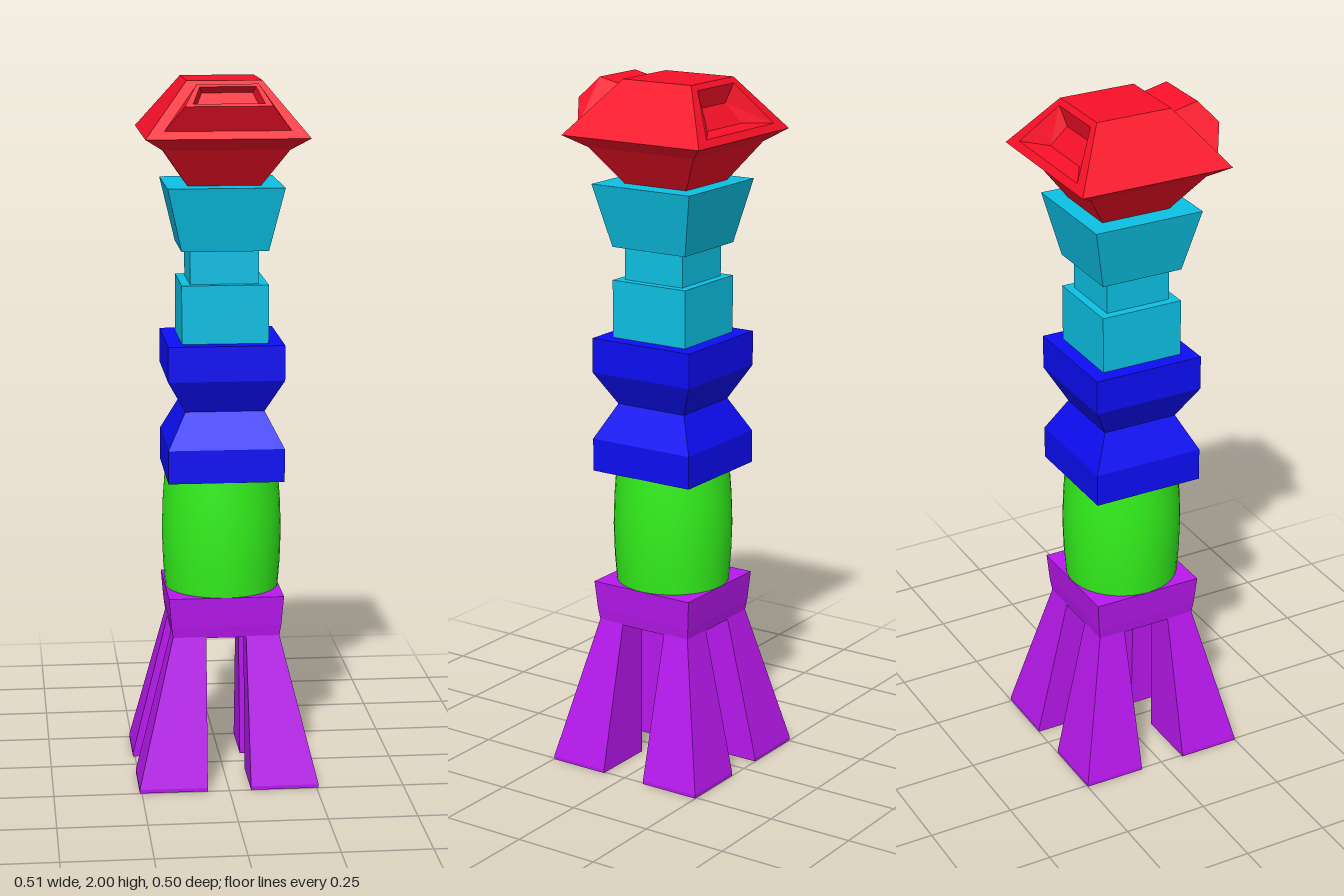
import * as THREE from 'three';
import { toCreasedNormals } from 'three/addons/utils/BufferGeometryUtils.js';

const material = (color) => new THREE.MeshStandardMaterial({ color, flatShading: true });

// Skin a series of four-cornered loops; optionally cap the ends or leave one side out
function loft(loops, { start = true, end = true, skip = -1 } = {}) {
  const pos = [];
  const quad = (a, b, c, d) => pos.push(...a, ...b, ...c, ...a, ...c, ...d);
  for (let k = 0; k < loops.length - 1; k++) {
    const p = loops[k], q = loops[k + 1];
    for (let i = 0; i < 4; i++) {
      const j = (i + 1) % 4;
      if (i !== skip) quad(p[i], p[j], q[j], q[i]);
    }
  }
  if (start) quad(...[...loops[0]].reverse());
  if (end) quad(...loops[loops.length - 1]);
  const g = new THREE.BufferGeometry();
  g.setAttribute('position', new THREE.Float32BufferAttribute(pos, 3));
  g.computeVertexNormals();
  return g;
}

// Level rectangle at height y
const rect = (y, x0, x1, z0, z1) => [[x1, y, z1], [x1, y, z0], [x0, y, z0], [x0, y, z1]];
const square = ([y, h]) => rect(y, -h, h, -h, h);

// Sloping trapezoid on the front (z > 0) or back (z < 0), given its bottom and top edges
function trapezoid([xb, yb, zb], [xt, yt, zt]) {
  const s = Math.sign(zb);
  return [[s * xb, yb, zb], [s * xt, yt, zt], [-s * xt, yt, zt], [-s * xb, yb, zb]];
}

export function createModel() {
  const model = new THREE.Group();
  const group = (name) => {
    const g = new THREE.Group();
    g.name = name;
    model.add(g);
    return g;
  };
  const add = (parent, name, geometry, mat) => {
    const m = new THREE.Mesh(geometry, mat);
    m.name = name;
    parent.add(m);
  };

  // Base: flared block on four splayed legs
  const base = group('base');
  const purple = material(0xb818ee);
  add(base, 'baseBlock', loft([[0.425, 0.152], [0.46, 0.157], [0.545, 0.164]].map(square)), purple);
  for (const sx of [-1, 1]) for (const sz of [-1, 1]) {
    const section = (y, xi, xo, zi, zo) => rect(y,
      Math.min(sx * xi, sx * xo), Math.max(sx * xi, sx * xo),
      Math.min(sz * zi, sz * zo), Math.max(sz * zi, sz * zo));
    add(base, 'leg', loft([
      section(0, 0.062, 0.256, 0.069, 0.249),
      section(0.01, 0.062, 0.256, 0.069, 0.249),
      section(0.43, 0.057, 0.152, 0.072, 0.152),
    ]), purple);
  }

  // Round bulging drum
  const profile = [[0, 0.545], [0.163, 0.545], [0.169, 0.62], [0.172, 0.71],
    [0.169, 0.8], [0.163, 0.88], [0, 0.88]].map(([r, y]) => new THREE.Vector2(r, y));
  const green = new THREE.MeshStandardMaterial({ color: 0x33f01c });
  add(model, 'drum', toCreasedNormals(new THREE.LatheGeometry(profile, 40), 0.6), green);

  // Waisted block
  add(model, 'waistBlock', loft([[0.88, 0.164], [0.975, 0.164], [1.075, 0.112],
    [1.17, 0.164], [1.27, 0.164]].map(square)), material(0x0d0df5));

  // Neck: lower block, narrow collar, flared block
  const neck = group('neck');
  const cyan = material(0x0cc0e4);
  add(neck, 'neckLower', loft([[1.27, 0.122], [1.435, 0.122]].map(square)), cyan);
  add(neck, 'neckCollar', loft([[1.435, 0.097], [1.53, 0.097]].map(square)), cyan);
  add(neck, 'neckUpper', loft([[1.53, 0.122], [1.71, 0.163]].map(square)), cyan);

  // Head: faceted underside and sloping crown, its back side left out
  const head = group('head');
  const red = material(0xf81028);
  const rim = rect(1.85, -0.227, 0.227, -0.237, 0.217);
  add(head, 'headUnderside', loft([
    rect(1.71, -0.103, 0.103, -0.113, 0.093),
    rect(1.815, -0.175, 0.175, -0.185, 0.165),
    rim,
  ], { end: false }), red);
  add(head, 'crown', loft([rim, rect(2, -0.105, 0.105, -0.13, 0.095)], { start: false, skip: 1 }), red);

  // Back of the crown with a sunken trapezoid
  add(head, 'backRecess', loft([
    trapezoid([0.227, 1.85, -0.237], [0.105, 2, -0.13]),
    trapezoid([0.17, 1.87, -0.223], [0.09, 1.985, -0.141]),
    trapezoid([0.085, 1.877, -0.172], [0.065, 1.932, -0.13]),
  ], { start: false }), red);

  // Raised front snout with a hollow face
  add(head, 'snout', loft([
    trapezoid([0.175, 1.87, 0.2], [0.085, 1.98, 0.111]),
    trapezoid([0.12, 1.94, 0.235], [0.085, 1.997, 0.187]),
    trapezoid([0.098, 1.947, 0.229], [0.077, 1.99, 0.193]),
    trapezoid([0.09, 1.929, 0.205], [0.07, 1.972, 0.17]),
  ], { start: false }), red);

  return model;
}
